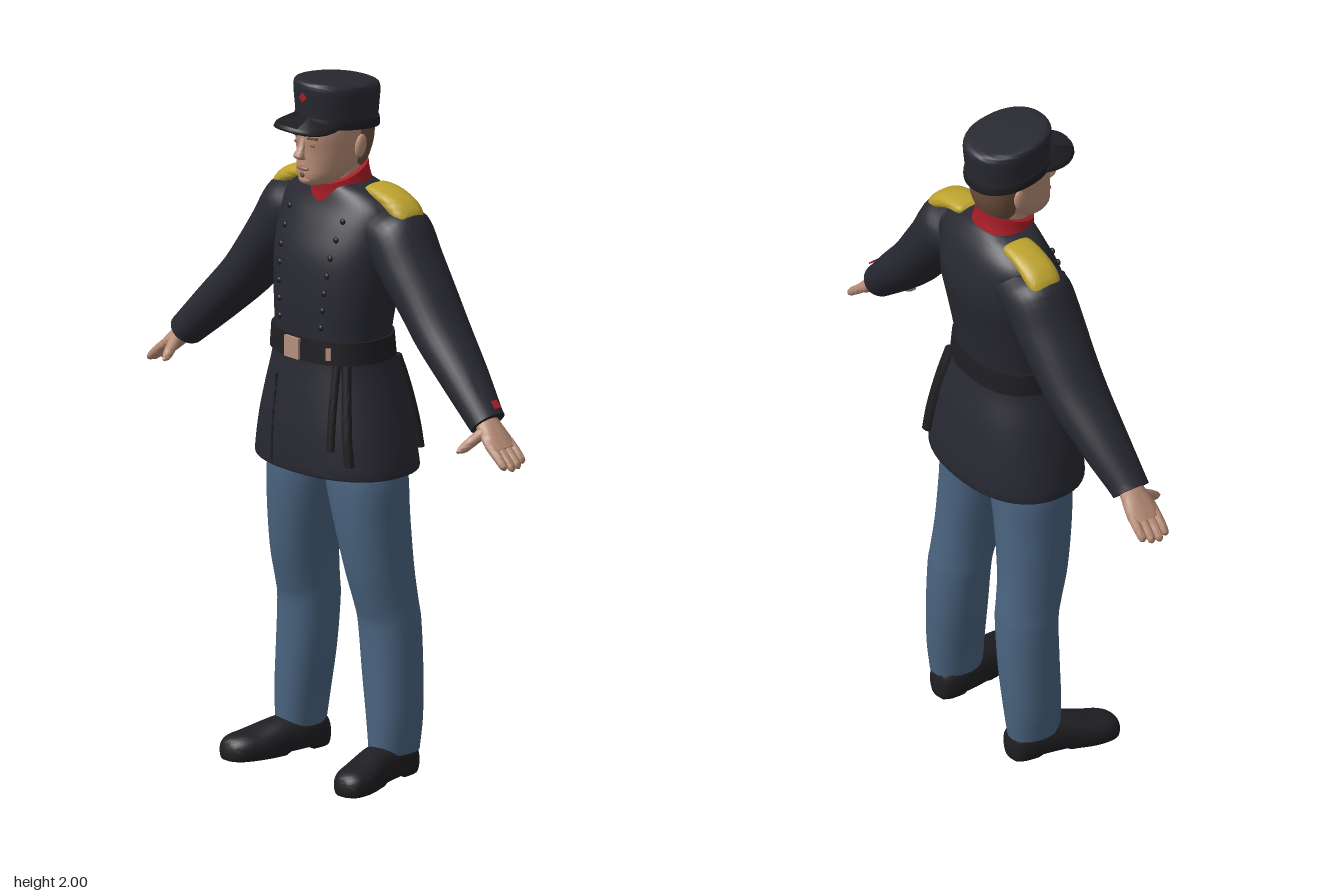
import * as THREE from 'three';
import { toCreasedNormals } from 'three/addons/utils/BufferGeometryUtils.js';

const V = (x, y, z) => new THREE.Vector3(x, y, z);
const X = V(1, 0, 0), Y = V(0, 1, 0), Z = V(0, 0, 1);

const paint = (name, color) => {
  const m = new THREE.MeshStandardMaterial({ color });
  m.name = name;
  return m;
};

export function createModel() {
  const group = new THREE.Group();
  const skin = paint('skin', 0xb98e78);
  const hairBrown = paint('hair brown', 0x6e4f3f);
  const coatCloth = paint('coat cloth', 0x282931);
  const trouserBlue = paint('trouser blue', 0x4a6480);
  const red = paint('red', 0xa81d26);
  const gold = paint('gold', 0xbda32e);
  const leather = paint('black leather', 0x1f1f23);
  const buckleMetal = paint('buckle metal', 0xb58f7c);
  const lipColor = paint('lip', 0x9a6a5c);

  const add = (name, geometry, material) => {
    const mesh = new THREE.Mesh(geometry, material);
    mesh.name = name;
    group.add(mesh);
    return mesh;
  };

  // Smooth solid through elliptical sections [x, y, z, radius along u, radius along v]
  function loft(name, material, secs, { u = X, v = Z, n = 28, power = 1, map } = {}) {
    const path = new THREE.CatmullRomCurve3(secs.map(s => V(s[0], s[1], s[2])), false, 'catmullrom');
    const size = new THREE.CatmullRomCurve3(secs.map(s => V(s[3], s[4], 0)), false, 'catmullrom');
    const steps = (secs.length - 1) * 4, pos = [], index = [];
    const bend = c => Math.sign(c) * Math.abs(c) ** power;
    const put = p => { if (map) map(p); pos.push(p.x, p.y, p.z); };
    for (let i = 0; i <= steps; i++) {
      const p = path.getPoint(i / steps), r = size.getPoint(i / steps);
      for (let j = 0; j < n; j++) {
        const a = j / n * Math.PI * 2;
        put(p.clone().addScaledVector(u, r.x * bend(Math.cos(a))).addScaledVector(v, r.y * bend(Math.sin(a))));
      }
    }
    const first = path.getPoint(0), last = path.getPoint(1);
    const flip = u.clone().cross(v).dot(last.clone().sub(first)) < 0;
    const tri = (a, b, c) => flip ? index.push(a, c, b) : index.push(a, b, c);
    put(first); put(last);
    const end = (steps + 1) * n;
    for (let j = 0; j < n; j++) {
      const k = (j + 1) % n;
      for (let i = 0; i < steps; i++) {
        tri(i * n + j, i * n + k, (i + 1) * n + k);
        tri(i * n + j, (i + 1) * n + k, (i + 1) * n + j);
      }
      tri(end, k, j);
      tri(end + 1, steps * n + j, steps * n + k);
    }
    const g = new THREE.BufferGeometry();
    g.setAttribute('position', new THREE.Float32BufferAttribute(pos, 3));
    g.setIndex(index);
    return add(name, toCreasedNormals(g, 0.9), material);
  }

  // Level rings given as [y, front z, back z, half width]
  const rings = rows => rows.map(([y, f, b, r]) => [0, y, (f + b) / 2, r, (f - b) / 2]);
  const box = (name, mat, w, h, d, x, y, z) => {
    const m = add(name, new THREE.BoxGeometry(w, h, d), mat);
    m.position.set(x, y, z);
    return m;
  };
  const ball = (name, mat, rx, ry, rz, x, y, z) => {
    const m = add(name, new THREE.SphereGeometry(1, 16, 12), mat);
    m.scale.set(rx, ry, rz);
    m.position.set(x, y, z);
    return m;
  };

  // Coat body with flared skirt
  const coatRows = [
    [0.885, 0.165, -0.185, 0.253], [0.9, 0.168, -0.19, 0.256], [1.0, 0.165, -0.18, 0.238],
    [1.1, 0.155, -0.163, 0.212], [1.2, 0.143, -0.135, 0.182], [1.27, 0.14, -0.13, 0.176],
    [1.4, 0.137, -0.152, 0.19], [1.5, 0.125, -0.17, 0.2], [1.58, 0.095, -0.163, 0.205],
    [1.64, 0.066, -0.145, 0.195], [1.68, 0.052, -0.12, 0.14], [1.7, 0.045, -0.1, 0.08]];
  const coatPower = 0.88;
  loft('coat', coatCloth, rings(coatRows), { power: coatPower, n: 48 });

  // Depth of the coat surface at (x, y); side is +1 for the front, -1 for the back
  function coatZ(x, y, side = 1) {
    const i = Math.max(1, coatRows.findIndex(r => r[0] >= y));
    const a = coatRows[i - 1], b = coatRows[i], t = (y - a[0]) / (b[0] - a[0]);
    const [, f, k, r] = a.map((q, j) => q + (b[j] - q) * t);
    const e = Math.max(0, 1 - Math.abs(x / r) ** (2 / coatPower)) ** (coatPower / 2);
    return (f + k) / 2 + side * e * (f - k) / 2;
  }

  // Belt, buckle and hanging gear
  loft('belt', leather, rings([[1.208, 0.151, -0.142, 0.19], [1.24, 0.15, -0.14, 0.187], [1.272, 0.149, -0.138, 0.184]]),
    { power: coatPower, n: 48 });
  box('buckle', buckleMetal, 0.055, 0.06, 0.012, -0.008, 1.24, 0.152);
  box('beltClip', buckleMetal, 0.014, 0.034, 0.012, 0.112, 1.24, coatZ(0.112, 1.24) + 0.01).rotation.y = 0.5;
  const hang = (name, x0, x1, y0, y1, r, side) => {
    const secs = [];
    for (let i = 0; i <= 4; i++) {
      const x = x0 + (x1 - x0) * i / 4, y = y0 + (y1 - y0) * i / 4;
      secs.push([x, y, coatZ(x, y, side) + side * 0.006, r, r * 0.8]);
    }
    loft(name, leather, secs, { n: 12 });
  };
  hang('frontStrap', 0.13, 0.14, 1.21, 0.97, 0.013, 1);
  hang('bayonetScabbard', 0.15, 0.19, 1.21, 0.93, 0.016, 1);
  hang('rearScabbard', 0.14, 0.175, 1.2, 0.93, 0.02, -1);

  // Skirt opening and two rows of buttons
  for (let i = 0; i < 5; i++) {
    const y = 0.92 + i * 0.05;
    box('skirtOpening', leather, 0.005, 0.052, 0.006, -0.08, y, coatZ(-0.08, y));
  }
  for (const s of [-1, 1]) for (let i = 0; i < 7; i++) {
    const y = 1.31 + i * 0.05, x = s * (0.082 + i * 0.004);
    ball('button', leather, 0.009, 0.009, 0.006, x, y, coatZ(x, y) + 0.002);
  }

  // Standing collar, lower at the front
  loft('collar', red, [[0, 1.672, -0.022, 0.092, 0.086], [0, 1.7, -0.02, 0.083, 0.083], [0, 1.728, -0.018, 0.078, 0.083]],
    { v: V(0, -0.38, 1) });

  for (const s of [-1, 1]) {
    const side = secs => secs.map(([x, ...rest]) => [s * x, ...rest]);
    const across = V(s * 0.71, 0.7, 0);

    // Sleeve
    loft('sleeve', coatCloth, side([
      [0.13, 1.59, -0.05, 0.085, 0.09], [0.2, 1.57, -0.05, 0.096, 0.1], [0.265, 1.487, -0.047, 0.084, 0.1],
      [0.33, 1.405, -0.045, 0.076, 0.094], [0.395, 1.325, -0.04, 0.07, 0.088], [0.5, 1.222, -0.027, 0.061, 0.072],
      [0.585, 1.14, -0.014, 0.051, 0.057], [0.603, 1.123, -0.012, 0.049, 0.055]]), { u: across });

    // Shoulder pad
    loft('epaulette', gold, side([
      [0.102, 1.682, -0.055, 0.035, 0.012], [0.115, 1.684, -0.055, 0.045, 0.016], [0.17, 1.674, -0.054, 0.048, 0.022],
      [0.225, 1.648, -0.053, 0.05, 0.03], [0.255, 1.625, -0.053, 0.045, 0.03], [0.267, 1.615, -0.053, 0.03, 0.02]]),
      { u: Z, v: Y, power: 0.8 });

    // Hand, fingers and thumb
    loft('palm', skin, side([
      [0.585, 1.138, -0.011, 0.034, 0.03], [0.615, 1.11, -0.01, 0.04, 0.027],
      [0.645, 1.083, -0.008, 0.049, 0.022], [0.672, 1.06, -0.008, 0.046, 0.016]]), { u: Z, v: across, n: 20 });
    [-0.044, -0.02, 0.004, 0.028].forEach((z, i) => {
      const l = [0.85, 0.98, 1.02, 0.92][i];
      loft('finger', skin, side([
        [0.65, 1.078, z, 0.0135, 0.014], [0.65 + 0.04 * l, 1.078 - 0.032 * l, z, 0.0135, 0.013],
        [0.65 + 0.066 * l, 1.078 - 0.056 * l, z, 0.011, 0.01], [0.65 + 0.072 * l, 1.078 - 0.063 * l, z, 0.003, 0.003]]),
        { u: Z, v: across, n: 10 });
    });
    loft('thumb', skin, side([
      [0.617, 1.108, 0.012, 0.018, 0.016], [0.605, 1.085, 0.045, 0.016, 0.016],
      [0.595, 1.064, 0.075, 0.013, 0.013], [0.59, 1.056, 0.092, 0.004, 0.004]]), { u: X, v: V(0, 0.8, 0.6), n: 12 });

    // Trouser leg, rows of [y, inner x, outer x, front z, back z]
    loft('trouserLeg', trouserBlue, [
      [0.96, 0, 0.2, 0.09, -0.12], [0.87, 0.002, 0.228, 0.1, -0.125], [0.75, 0.034, 0.23, 0.095, -0.125],
      [0.6, 0.066, 0.234, 0.073, -0.13], [0.5, 0.078, 0.238, 0.046, -0.14], [0.44, 0.08, 0.244, 0.032, -0.145],
      [0.3, 0.096, 0.25, 0.03, -0.145], [0.17, 0.117, 0.252, 0.03, -0.138], [0.075, 0.13, 0.244, 0.028, -0.128]]
      .map(([y, a, b, f, k]) => [s * (a + b) / 2, y, (f + k) / 2, (b - a) / 2, (f - k) / 2]), { power: 0.92 });

    // Shoe with a raised arch behind the flat sole
    loft('shoe', leather, side([
      [0.178, 0.035, -0.126, 0.018, 0.03], [0.178, 0.04, -0.11, 0.045, 0.055], [0.183, 0.045, -0.04, 0.057, 0.062],
      [0.197, 0.04, 0.04, 0.058, 0.058], [0.216, 0.03, 0.11, 0.064, 0.047], [0.227, 0.026, 0.16, 0.055, 0.042],
      [0.23, 0.022, 0.187, 0.034, 0.03], [0.23, 0.02, 0.196, 0.008, 0.008]]),
      { u: X, v: Y, power: 0.85, map: p => { p.y = Math.max(p.y, p.z > -0.05 && p.z < 0.03 ? 0.012 : 0); } });

    // Ear, eye and brow
    ball('ear', skin, 0.01, 0.034, 0.02, s * 0.082, 1.805, -0.022).rotation.x = -0.2;
    ball('eye', hairBrown, 0.01, 0.004, 0.004, s * 0.032, 1.822, 0.114);
    box('brow', hairBrown, 0.03, 0.006, 0.008, s * 0.033, 1.843, 0.115).rotation.y = s * 0.35;
  }
  box('cuffMark', red, 0.026, 0.004, 0.02, 0.622, 1.178, -0.025).rotation.z = -0.77;

  // Neck, head and face
  loft('neck', skin, rings([[1.66, 0.045, -0.09, 0.065], [1.72, 0.05, -0.09, 0.063], [1.78, 0.05, -0.09, 0.063]]));
  loft('head', skin, rings([
    [1.7, 0.1, 0.0, 0.025], [1.708, 0.115, -0.02, 0.044], [1.73, 0.124, -0.055, 0.06], [1.76, 0.122, -0.085, 0.071],
    [1.8, 0.121, -0.105, 0.078], [1.85, 0.124, -0.114, 0.081], [1.9, 0.11, -0.11, 0.078]]), { power: 0.93 });
  loft('hair', hairBrown, rings([
    [1.74, 0.01, -0.092, 0.06], [1.765, 0.015, -0.104, 0.07], [1.81, 0.025, -0.118, 0.08], [1.87, 0.025, -0.122, 0.083]]));
  loft('nose', skin, [
    [0, 1.845, 0.115, 0.009, 0.008], [0, 1.815, 0.126, 0.01, 0.01], [0, 1.793, 0.136, 0.016, 0.015],
    [0, 1.782, 0.128, 0.014, 0.012], [0, 1.777, 0.12, 0.004, 0.004]], { n: 14 });
  ball('lips', lipColor, 0.024, 0.007, 0.008, 0, 1.753, 0.121);
  ball('chinTuft', hairBrown, 0.009, 0.009, 0.005, 0, 1.735, 0.122);
  ball('chin', skin, 0.024, 0.014, 0.012, 0, 1.72, 0.112);

  // Cap with band, peak and badge
  const lean = V(0, 0.12, 1);
  loft('cap', coatCloth, [
    [0, 1.862, -0.01, 0.1, 0.118], [0, 1.9, -0.009, 0.102, 0.12], [0, 1.95, -0.009, 0.105, 0.125],
    [0, 1.974, -0.009, 0.104, 0.125], [0, 1.985, -0.009, 0.096, 0.115], [0, 1.988, -0.009, 0.07, 0.09]],
    { v: lean, power: 0.9, n: 36 });
  loft('capBand', leather, [[0, 1.86, -0.01, 0.104, 0.122], [0, 1.874, -0.01, 0.105, 0.123], [0, 1.886, -0.01, 0.103, 0.121]],
    { v: lean, power: 0.9, n: 36 });
  loft('peak', leather, [[0, 1.884, 0.09, 0.09, 0.1], [0, 1.89, 0.09, 0.094, 0.105], [0, 1.9, 0.09, 0.088, 0.1]],
    { v: V(0, -0.1, 1), power: 0.9, map: p => { p.y -= 2.2 * p.x * p.x; } });
  box('badge', red, 0.02, 0.02, 0.008, -0.004, 1.955, 0.115).rotation.z = Math.PI / 4;

  return group;
}
